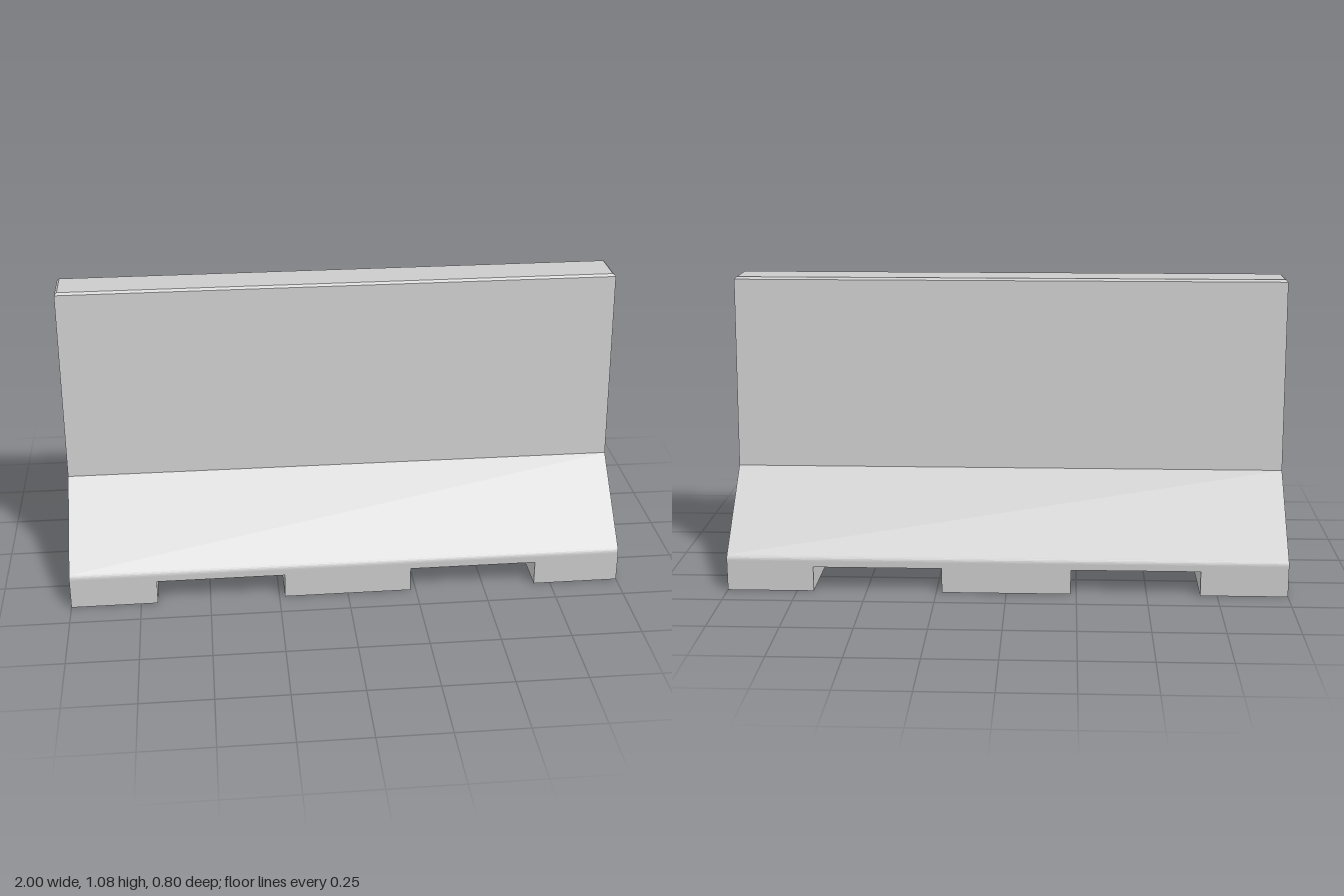
import * as THREE from 'three';

const material = new THREE.MeshStandardMaterial({ color: 0xcccccc });

function addPart(group, name, geometry) {
  const mesh = new THREE.Mesh(geometry, material);
  mesh.name = name;
  group.add(mesh);
  return mesh;
}

export function createModel() {
  const group = new THREE.Group();
  group.name = 'concreteBarrier';

  const length = 2, footHeight = 0.09, capBase = 1.075, capTop = 1.083;

  // Barrier cross-section: wide base, rounded shoulders, tapering wall
  const profile = new THREE.Shape();
  profile.moveTo(-0.4, footHeight);
  profile.lineTo(0.4, footHeight);
  profile.lineTo(0.4, 0.112);
  profile.quadraticCurveTo(0.4, 0.122, 0.392, 0.13);
  profile.lineTo(0.125, 0.388);
  profile.lineTo(0.079, capBase);
  profile.lineTo(-0.079, capBase);
  profile.lineTo(-0.125, 0.388);
  profile.lineTo(-0.392, 0.13);
  profile.quadraticCurveTo(-0.4, 0.122, -0.4, 0.112);
  profile.closePath();

  const body = new THREE.ExtrudeGeometry(profile, { depth: length, bevelEnabled: false, curveSegments: 4 });
  body.translate(0, 0, -length / 2);
  body.rotateY(Math.PI / 2);
  addPart(group, 'barrierBody', body);

  // Chamfered top edge, drawn in on all four sides
  const cap = new THREE.BoxGeometry(length, capTop - capBase, 0.158);
  const pos = cap.attributes.position;
  for (let i = 0; i < pos.count; i++) {
    if (pos.getY(i) > 0) {
      pos.setX(i, Math.sign(pos.getX(i)) * 0.991);
      pos.setZ(i, Math.sign(pos.getZ(i)) * 0.07);
    }
  }
  cap.translate(0, (capBase + capTop) / 2, 0);
  cap.computeVertexNormals();
  addPart(group, 'chamferedTop', cap);

  // Three feet, leaving two lifting slots right through the base
  const feet = [
    ['rightFoot', -1, -0.69],
    ['middleFoot', -0.23, 0.23],
    ['leftFoot', 0.69, 1],
  ];
  for (const [name, x0, x1] of feet) {
    const foot = addPart(group, name, new THREE.BoxGeometry(x1 - x0, footHeight, 0.8));
    foot.position.set((x0 + x1) / 2, footHeight / 2, 0);
  }

  return group;
}
